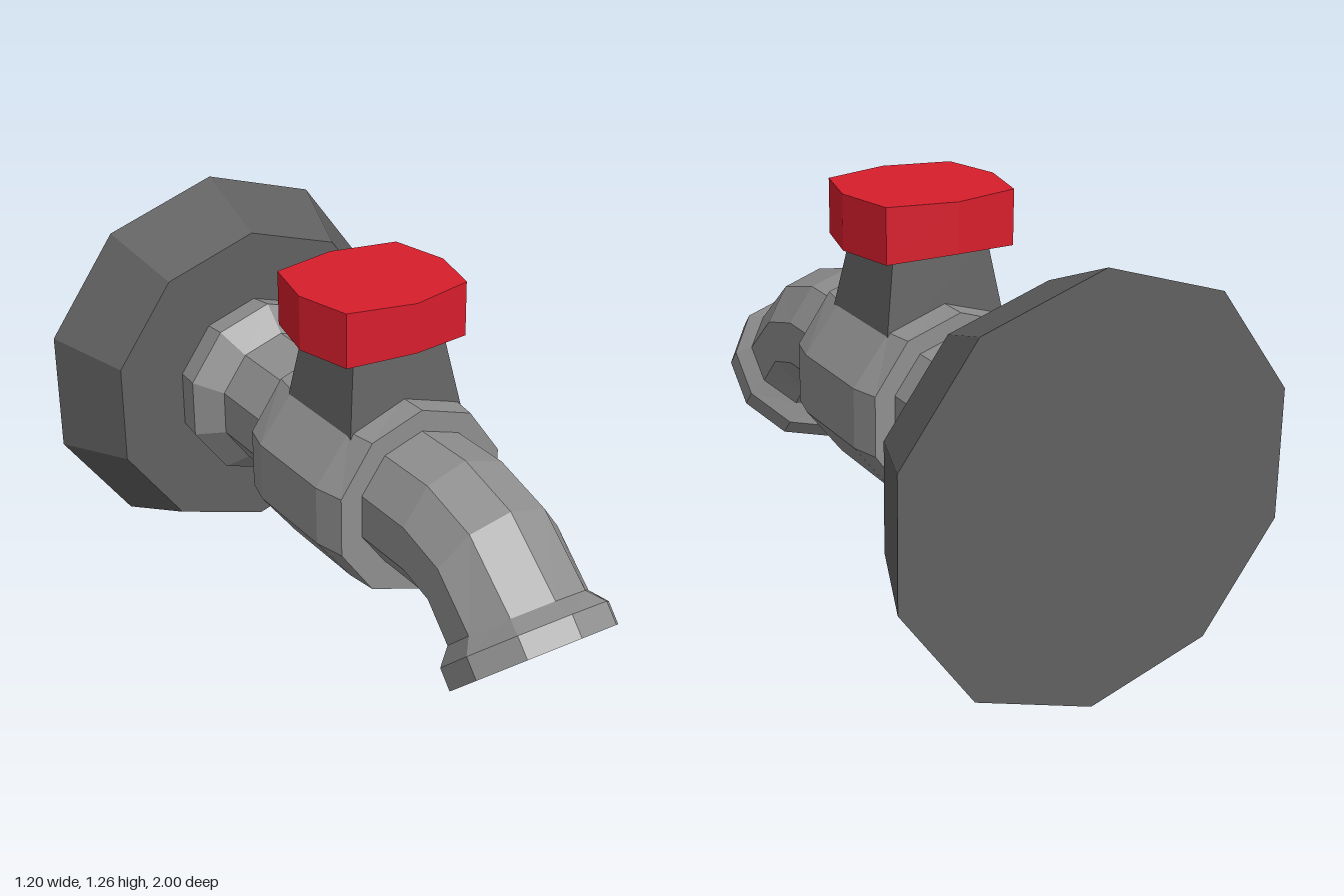
import * as THREE from 'three';

const SIDES = 10;
const paint = (color) => new THREE.MeshStandardMaterial({ color, flatShading: true });

// Skin a list of cross-sections; every ring is an array of [x, y, z] with the same count.
function skin(rings) {
  const n = rings[0].length;
  const index = [];
  for (let k = 0; k < rings.length - 1; k++) {
    for (let i = 0; i < n; i++) {
      const j = (i + 1) % n;
      const a = k * n + i, b = k * n + j, c = a + n, d = b + n;
      index.push(a, c, b, b, c, d);
    }
  }
  const geo = new THREE.BufferGeometry();
  geo.setAttribute('position', new THREE.Float32BufferAttribute(rings.flat(2), 3));
  geo.setIndex(index);
  geo.computeVertexNormals();
  return geo;
}

// Ten-sided ring around the pipe axis, with a corner at the top, leaning forward by tilt.
function ring(z, y, rx, ry = rx, tilt = 0) {
  return Array.from({ length: SIDES }, (_, i) => {
    const a = (i / SIDES) * Math.PI * 2;
    const v = ry * Math.cos(a);
    return [rx * Math.sin(a), y + v * Math.cos(tilt), z + v * Math.sin(tilt)];
  });
}

export function createModel() {
  const group = new THREE.Group();
  const pipe = paint(0x8f8f8f);
  const iron = paint(0x606060);
  const red = paint(0xd81e2c);
  const add = (name, geo, mat) => {
    const mesh = new THREE.Mesh(geo, mat);
    mesh.name = name;
    group.add(mesh);
  };

  // Flared plate against the wall
  add('wallFlange', skin([
    ring(-1, 0.632, 0), ring(-1, 0.632, 0.63),
    ring(-0.73, 0.632, 0.52), ring(-0.73, 0.632, 0),
  ]), iron);

  // Collar and rear pipe
  add('rearPipe', skin([
    ring(-0.74, 0.632, 0.29), ring(-0.64, 0.635, 0.302),
    ring(-0.56, 0.635, 0.228), ring(-0.2, 0.635, 0.228),
  ]), pipe);

  // Valve body, slightly bulged sideways
  add('valveBody', skin([
    ring(-0.27, 0.62, 0), ring(-0.27, 0.62, 0.295, 0.303),
    ring(-0.18, 0.62, 0.32, 0.303), ring(0.14, 0.62, 0.32, 0.303),
    ring(0.24, 0.62, 0.295, 0.305), ring(0.24, 0.62, 0),
  ]), pipe);

  // Bent spout
  const lean = 0.84;
  const mouth = { z: 0.805, y: 0.387 };
  const atMouth = (depth, rx, ry = rx) => ring(
    mouth.z - depth * Math.cos(lean), mouth.y + depth * Math.sin(lean), rx, ry, lean);
  add('spout', skin([
    ring(0.2, 0.636, 0.221), ring(0.455, 0.636, 0.221),
    ring(0.6, 0.595, 0.221, 0.212, 0.34), atMouth(0.12, 0.221, 0.21),
  ]), pipe);

  // Lip of the spout with its shallow bore
  add('spoutLip', skin([
    atMouth(0.12, 0.221, 0.21), atMouth(0.07, 0.262), atMouth(0, 0.262),
    atMouth(0, 0.184, 0.222), atMouth(0.065, 0.184, 0.222), atMouth(0.065, 0),
  ]), pipe);

  // Tapered square neck
  const square = (y, x, z0, z1) => [[-x, y, z0], [x, y, z0], [x, y, z1], [-x, y, z1]];
  add('neck', skin([
    square(0.8, 0.205, -0.195, 0.17), square(1.1, 0.155, -0.15, 0.115),
  ]), iron);

  // Eight-sided handle, its underside lifted at the front and back corners
  const outline = [
    [0, -0.255], [0.21, -0.21], [0.252, -0.02], [0.207, 0.16],
    [0, 0.21], [-0.207, 0.16], [-0.252, -0.02], [-0.21, -0.21],
  ];
  const level = (y, s = 1, lift = 0) => outline.map(([x, z]) =>
    [x * s, y + (x === 0 ? lift : 0), (z + 0.02) * s - 0.02]);
  add('handle', skin([
    level(1.08, 0), level(1.08, 1, 0.015), level(1.25), level(1.25, 0),
  ]), red);

  return group;
}
